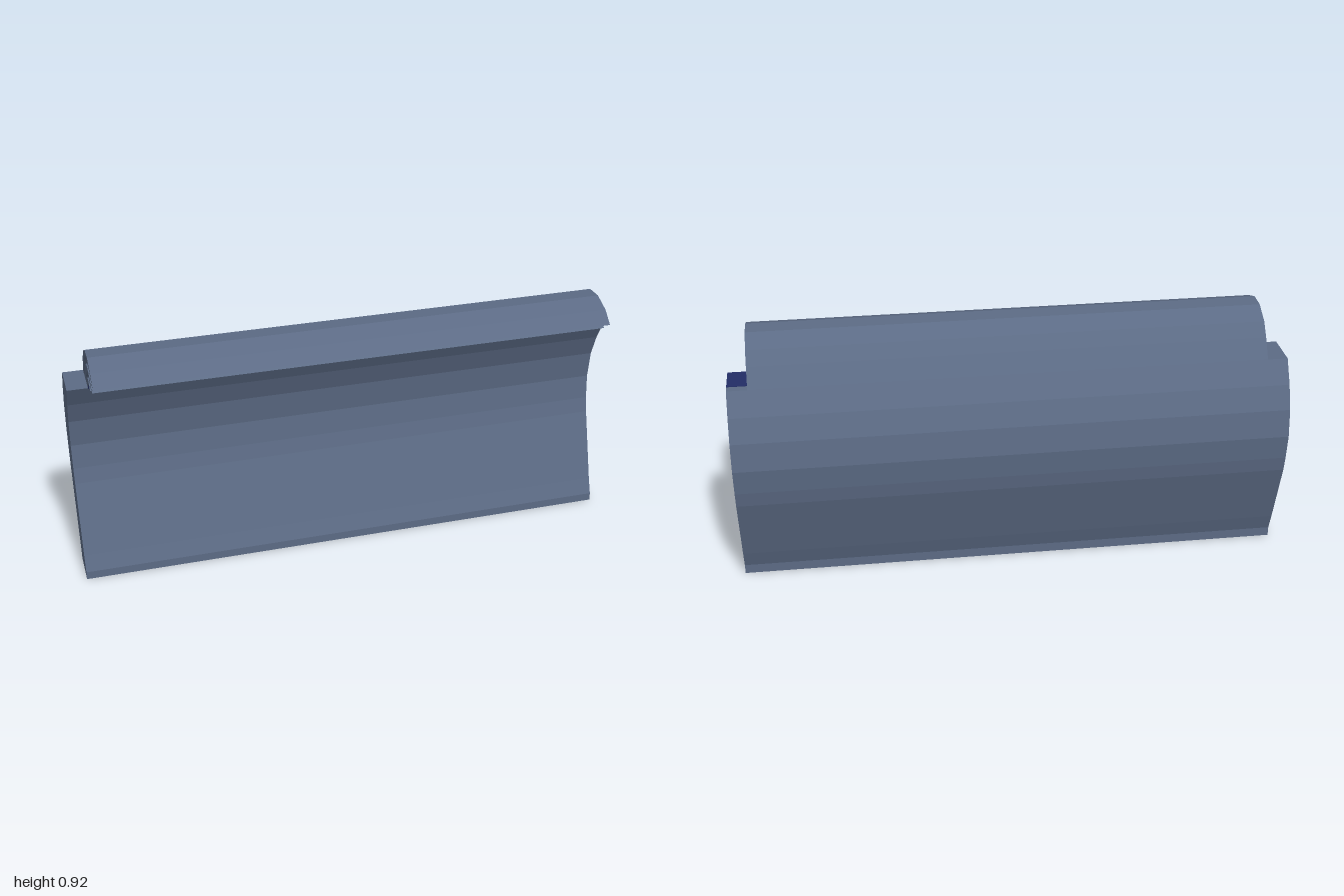
import * as THREE from 'three';

// Curved body section as [z, y], bottom to top: front side and matching back side
const FRONT = [[0.046, 0], [0.046, 0.03], [0.024, 0.09], [-0.054, 0.35], [-0.066, 0.407], [-0.074, 0.498], [-0.059, 0.603], [-0.024, 0.688], [0.024, 0.77]];
const BACK = [[-0.1, 0], [-0.1, 0.035], [-0.122, 0.1], [-0.198, 0.35], [-0.208, 0.407], [-0.217, 0.5], [-0.203, 0.603], [-0.169, 0.688], [-0.12, 0.77]];
const HALF = 1, INNER = 0.927;

// Curled fins: share of the body depth they fill, and their free edge above the body
const FINS = [
  { name: 'innerFin', range: [0, 0.17],
    under: [[0.032, 0.786], [0.046, 0.796], [0.105, 0.8]],
    over: [[0.071, 0.82], [0.044, 0.82], [0.017, 0.808]] },
  { name: 'middleFin', range: [0.356, 0.56],
    under: [[-0.005, 0.801], [0.024, 0.83], [0.059, 0.85], [0.1, 0.847], [0.139, 0.827], [0.173, 0.825]],
    over: [[0.132, 0.857], [0.073, 0.876], [0.015, 0.859], [-0.024, 0.825]] },
  { name: 'outerFin', range: [0.78, 1],
    under: [[-0.046, 0.825], [-0.015, 0.864], [0.022, 0.894], [0.076, 0.908], [0.144, 0.894], [0.19, 0.862], [0.217, 0.857]],
    over: [[0.171, 0.897], [0.1, 0.923], [0.032, 0.92], [-0.037, 0.884], [-0.076, 0.837]] },
];

// Curve running through the body at depth share t
const bodyCurve = (t) => FRONT.map(([z, y], i) => [
  z + (BACK[i][0] - z) * t,
  y + (BACK[i][1] - y) * t,
]);

// Extrude a [z, y] outline along x between x0 and x1
function slab(points, x0, x1) {
  const shape = new THREE.Shape(points.map(([z, y]) => new THREE.Vector2(z, y)));
  const geo = new THREE.ExtrudeGeometry(shape, { depth: x1 - x0, bevelEnabled: false });
  geo.rotateY(-Math.PI / 2);
  geo.translate(x1, 0, 0);
  return geo;
}

export function createModel() {
  const group = new THREE.Group();
  const slate = new THREE.MeshStandardMaterial({ color: 0x5c6b85 });
  slate.name = 'slate';
  const navy = new THREE.MeshStandardMaterial({ color: 0x222d66 });
  navy.name = 'navy';
  const add = (name, geo, mat) => {
    const mesh = new THREE.Mesh(geo, mat);
    mesh.name = name;
    group.add(mesh);
  };

  // Solid end cheeks
  const cheek = [...bodyCurve(0), ...bodyCurve(1).reverse()];
  add('leftCheek', slab(cheek, INNER, HALF), slate);
  add('rightCheek', slab(cheek, -HALF, -INNER), slate);

  // Three nested fins separated by open slots
  for (const { name, range, under, over } of FINS) {
    const outline = [...bodyCurve(range[0]), ...under, ...over, ...bodyCurve(range[1]).reverse()];
    add(name, slab(outline, -INNER, INNER), slate);
  }

  // Navy plate on top of the left cheek
  const plate = new THREE.BoxGeometry(HALF - INNER, 0.003, 0.112);
  plate.translate((HALF + INNER) / 2, 0.7705, -0.032);
  add('cheekTopPlate', plate, navy);

  // Navy strip under the curl of the inner fin
  const strip = [[0.024, 0.77], [0.027, 0.769], [0.035, 0.784], [0.047, 0.794], [0.046, 0.796], [0.032, 0.786]];
  add('innerFinStrip', slab(strip, -INNER, INNER), navy);

  return group;
}
